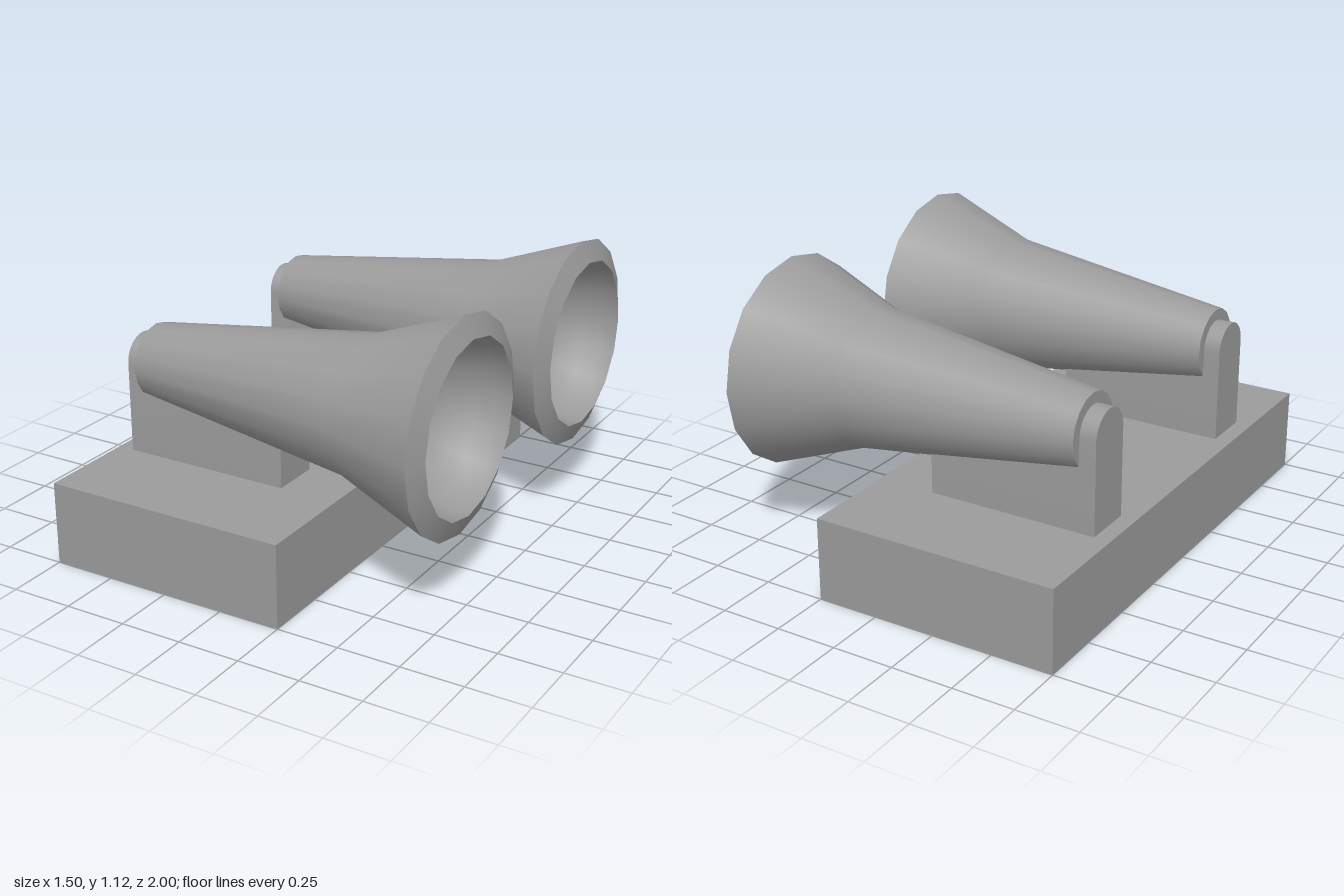
import * as THREE from 'three';
import { toCreasedNormals } from 'three/addons/utils/BufferGeometryUtils.js';

const material = new THREE.MeshStandardMaterial({ color: 0x9b9b9b });
const insideMaterial = new THREE.MeshStandardMaterial({ color: 0x9b9b9b, side: THREE.BackSide });
const AXIS_Y = 0.7;

function addMesh(parent, name, geometry, surface = material) {
  const mesh = new THREE.Mesh(geometry, surface);
  mesh.name = name;
  parent.add(mesh);
  return mesh;
}

// Surface of revolution around the x axis; points are [radius, x]
function turned(points) {
  const profile = points.map(([r, x]) => new THREE.Vector2(r, x));
  return new THREE.LatheGeometry(profile, 16).rotateZ(-Math.PI / 2);
}

function rectangle(PathType, hw, hh) {
  const p = new PathType();
  p.moveTo(-hw, -hh);
  p.lineTo(hw, -hh);
  p.lineTo(hw, hh);
  p.lineTo(-hw, hh);
  p.closePath();
  return p;
}

// Plate hollowed from below, with a short post inside
function createBase() {
  const base = new THREE.Group();
  base.name = 'base';
  base.position.x = -0.25;
  const rim = rectangle(THREE.Shape, 0.5, 1);
  rim.holes.push(rectangle(THREE.Path, 0.35, 0.85));
  const walls = new THREE.ExtrudeGeometry(rim, { depth: 0.167, bevelEnabled: false });
  addMesh(base, 'baseWalls', walls.rotateX(-Math.PI / 2));
  addMesh(base, 'baseTop', new THREE.BoxGeometry(1, 0.168, 2)).position.y = 0.251;
  addMesh(base, 'undersidePost', new THREE.CylinderGeometry(0.153, 0.153, 0.167, 8)).position.y = 0.0835;
  return base;
}

// Round-topped bracket carrying a flared horn with a hollow mouth
function createHorn(z) {
  const horn = new THREE.Group();
  horn.name = z > 0 ? 'frontHorn' : 'rearHorn';
  horn.position.z = z;

  const outline = new THREE.Shape();
  outline.moveTo(-0.1, 0.335);
  outline.lineTo(0.1, 0.335);
  outline.lineTo(0.1, AXIS_Y);
  outline.absarc(0, AXIS_Y, 0.1, 0, Math.PI, false);
  outline.closePath();
  const bracket = new THREE.ExtrudeGeometry(outline, { depth: 0.697, bevelEnabled: false, curveSegments: 8 });
  bracket.rotateY(Math.PI / 2).translate(-0.684, 0, 0);
  addMesh(horn, 'bracket', toCreasedNormals(bracket, 0.6));

  const sections = {
    hornBackCap: [[0, -0.617], [0.146, -0.617]],
    hornShell: [[0.146, -0.617], [0.274, 0.325], [0.42, 0.715]],
    hornLip: [[0.42, 0.715], [0.337, 0.75]],
  };
  for (const [name, points] of Object.entries(sections)) {
    addMesh(horn, name, turned(points)).position.y = AXIS_Y;
  }

  // Hemispherical dish sunk into the mouth, seen from its inside
  const dish = new THREE.SphereGeometry(0.337, 16, 8, 0, Math.PI * 2, 0, Math.PI / 2);
  dish.rotateZ(Math.PI / 2);
  addMesh(horn, 'hornDish', dish, insideMaterial).position.set(0.75, AXIS_Y, 0);
  return horn;
}

export function createModel() {
  const model = new THREE.Group();
  model.name = 'twinHorns';
  model.add(createBase());
  for (const z of [0.5, -0.5]) model.add(createHorn(z));
  return model;
}
